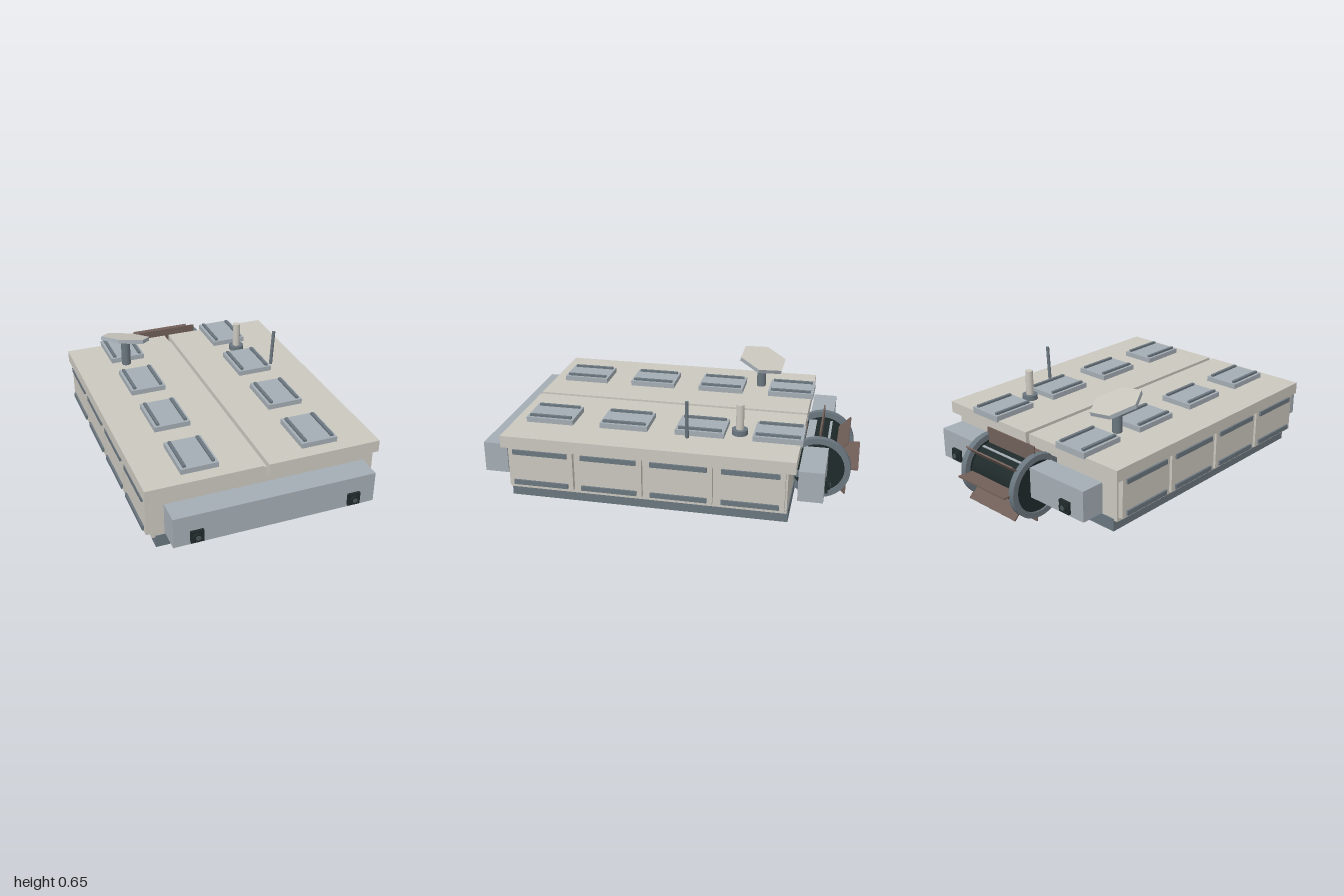
import * as THREE from 'three';

const mat = (name, color) => {
  const m = new THREE.MeshStandardMaterial({ color });
  m.name = name;
  return m;
};

export function createModel() {
  const model = new THREE.Group();
  model.name = 'paddleRaft';
  const beige = mat('beige', 0xcac7be);
  const lightGrey = mat('lightGrey', 0xa4adb4);
  const darkGrey = mat('darkGrey', 0x6a767f);
  const black = mat('nearBlack', 0x1f2a2b);
  const brown = mat('brown', 0x705f58);
  const lensGrey = mat('lensGrey', 0x485257);

  const add = (name, geo, material, x, y, z, parent = model) => {
    const m = new THREE.Mesh(geo, material);
    m.name = name;
    m.position.set(x, y, z);
    parent.add(m);
    return m;
  };
  // box given by its min and max on each axis
  const box = (name, material, x0, x1, y0, y1, z0, z1, parent) =>
    add(name, new THREE.BoxGeometry(x1 - x0, y1 - y0, z1 - z0), material,
      (x0 + x1) / 2, (y0 + y1) / 2, (z0 + z1) / 2, parent);
  const cyl = (name, material, r, h, x, y, z, parent, sides = 24) =>
    add(name, new THREE.CylinderGeometry(r, r, h, sides), material, x, y, z, parent);

  // hull
  box('hullBottom', darkGrey, -0.568, 0.568, 0.057, 0.125, -0.67, 0.803);
  box('hullBody', beige, -0.588, 0.588, 0.115, 0.39, -0.665, 0.8);

  for (const s of [-1, 1]) {
    // deck halves with a slot between them
    box('deckHalf', beige, s < 0 ? -0.625 : 0.013, s < 0 ? -0.013 : 0.625, 0.355, 0.42, -0.705, 0.83);

    // side panels with two rails each
    for (let i = 0; i < 4; i++) {
      const z = 0.62 - i * 0.367;
      const panel = new THREE.Group();
      panel.name = 'sidePanel';
      model.add(panel);
      box('panelPlate', beige, s * 0.6 - 0.015, s * 0.6 + 0.015, 0.137, 0.36, z - 0.174, z + 0.174, panel);
      for (const y of [0.161, 0.333])
        box('panelRail', darkGrey, s * 0.617 - 0.008, s * 0.617 + 0.008, y - 0.013, y + 0.013, z - 0.147, z + 0.147, panel);
    }

    // deck hatches with two rails each
    for (let i = 0; i < 4; i++) {
      const hatch = new THREE.Group();
      hatch.name = 'deckHatch';
      hatch.position.set(s * 0.321, 0.42, 0.63 - i * 0.406);
      model.add(hatch);
      box('hatchPlate', lightGrey, -0.098, 0.098, -0.005, 0.028, -0.129, 0.129, hatch);
      for (const x of [-0.075, 0.075])
        box('hatchRail', darkGrey, x - 0.008, x + 0.008, 0.025, 0.04, -0.115, 0.115, hatch);
    }
  }

  // bumpers with lamps, front and back
  for (const s of [1, -1]) {
    const zIn = s > 0 ? 0.835 : -0.71;
    const zOut = s > 0 ? 0.965 : -0.84;
    box(s > 0 ? 'frontBumper' : 'rearBumper', lightGrey, -0.533, 0.533, 0.165, 0.33,
      Math.min(zIn, zOut), Math.max(zIn, zOut));
    for (const x of [-0.415, 0.415]) {
      box('lampHousing', black, x - 0.033, x + 0.033, 0.178, 0.243, zOut - 0.015, zOut + 0.015);
      cyl('lampRim', black, 0.024, 0.026, x, 0.21, zOut + s * 0.012).rotation.x = Math.PI / 2;
      cyl('lampLens', lensGrey, 0.013, 0.008, x, 0.21, zOut + s * 0.024).rotation.x = Math.PI / 2;
    }
  }
  // mounts joining the front bumper to the hull
  for (const x of [-0.3, 0.3]) box('bumperMount', lightGrey, x - 0.04, x + 0.04, 0.2, 0.29, 0.795, 0.84);

  // paddle wheel
  const wheel = new THREE.Group();
  wheel.name = 'paddleWheel';
  wheel.position.set(0.03, 0.211, -0.79);
  model.add(wheel);
  cyl('drum', black, 0.125, 0.36, 0, 0, 0, wheel, 32).rotation.z = Math.PI / 2;
  const ring = new THREE.Shape().absarc(0, 0, 0.172, 0, Math.PI * 2);
  ring.holes.push(new THREE.Path().absarc(0, 0, 0.14, 0, Math.PI * 2, true));
  const ringGeo = new THREE.ExtrudeGeometry(ring, { depth: 0.034, bevelEnabled: false, curveSegments: 20 });
  ringGeo.translate(0, 0, -0.017).rotateY(Math.PI / 2);
  for (const s of [-1, 1]) {
    add('wheelRing', ringGeo, darkGrey, s * 0.186, 0, 0, wheel);
    cyl('wheelDisc', black, 0.142, 0.02, s * 0.183, 0, 0, wheel, 32).rotation.z = Math.PI / 2;
    box('wheelArm', darkGrey, s * 0.225 - 0.012, s * 0.225 + 0.012, -0.045, -0.015, -0.02, 0.14, wheel);
  }
  for (let i = 0; i < 8; i++) {
    const spoke = new THREE.Group();
    spoke.name = 'paddle';
    spoke.rotation.x = (i * Math.PI) / 4;
    wheel.add(spoke);
    box('paddleBoard', brown, -0.178, 0.178, 0.12, 0.21, -0.004, 0.004, spoke);
  }

  // tilted six-sided dish on a post
  cyl('dishPost', darkGrey, 0.026, 0.15, -0.347, 0.51, -0.405);
  const dish = new THREE.Group();
  dish.name = 'dish';
  dish.position.set(-0.345, 0.594, -0.41);
  dish.rotation.set(-0.27, 0, -0.17);
  model.add(dish);
  const plateGeo = new THREE.CylinderGeometry(0.142, 0.142, 0.022, 6).rotateY(Math.PI / 6).toNonIndexed();
  plateGeo.computeVertexNormals();
  // side, top, bottom
  add('dishPlate', plateGeo, [lightGrey, beige, lightGrey], 0, 0, 0, dish);

  // exhaust pipe on a round foot
  cyl('pipeFoot', darkGrey, 0.042, 0.03, 0.337, 0.433, -0.382);
  cyl('pipe', beige, 0.021, 0.15, 0.337, 0.51, -0.382);

  // leaning antenna
  cyl('antenna', darkGrey, 0.0095, 0.205, 0.456, 0.526, -0.125, model, 12).rotation.z = -0.06;

  return model;
}
